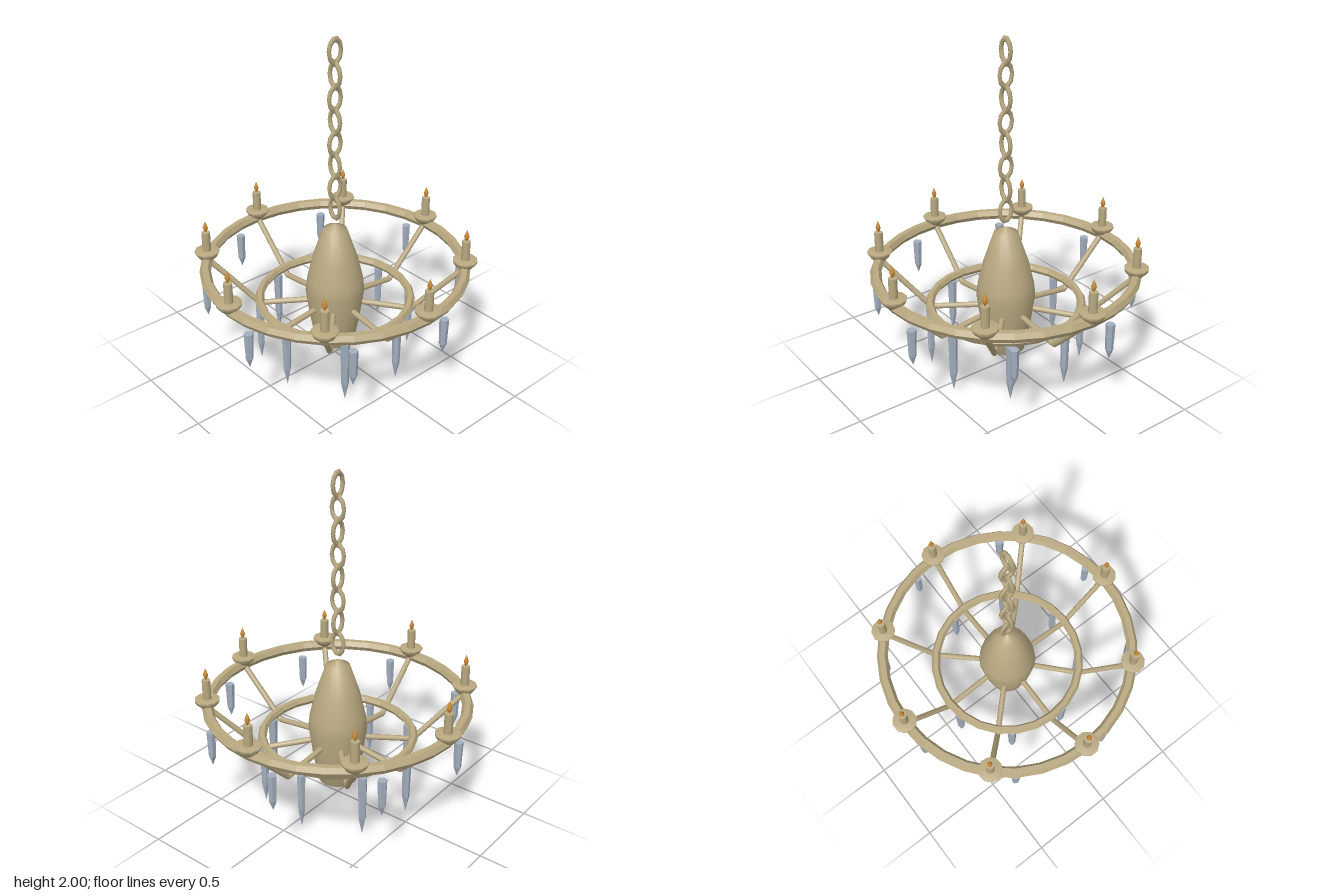
import * as THREE from 'three';

export function createModel() {
  const root = new THREE.Group();
  root.name = 'chandelier';

  const material = (name, color, flat = false) => {
    const m = new THREE.MeshStandardMaterial({ color, flatShading: flat });
    m.name = name;
    return m;
  };
  const brass = material('paleBrass', 0xb9a981);
  const crystal = material('crystal', 0xa3afbe, true);
  const flame = material('flame', 0xcf8a30);

  const add = (parent, name, geometry, mat) => {
    const mesh = new THREE.Mesh(geometry, mat);
    mesh.name = name;
    parent.add(mesh);
    return mesh;
  };
  const lathe = (points, sides) =>
    new THREE.LatheGeometry(points.map(([x, y]) => new THREE.Vector2(x, y)), sides);
  const flat = (geometry) => {
    const g = geometry.toNonIndexed();
    g.computeVertexNormals();
    return g;
  };

  // Central spindle body
  add(root, 'body', lathe([
    [0, 0.04], [0.06, 0.07], [0.115, 0.108], [0.148, 0.27], [0.174, 0.46],
    [0.165, 0.54], [0.132, 0.68], [0.07, 0.865], [0, 0.9],
  ], 20), brass);

  // Two six-sided hoops
  const hoop = (name, radius, tube, y, segments) => {
    const g = new THREE.TorusGeometry(radius, tube, 6, segments);
    g.rotateX(-Math.PI / 2);
    add(root, name, flat(g), brass).position.y = y;
  };
  hoop('outerRing', 0.75, 0.033, 0.637, 32);
  hoop('innerRing', 0.447, 0.026, 0.413, 24);

  // Chain of alternating links
  const linkGeometry = new THREE.TorusGeometry(0.042, 0.012, 6, 10);
  linkGeometry.scale(1, 1.52, 1);
  for (let i = 0; i < 8; i++) {
    const link = add(root, 'chainLink', linkGeometry, brass);
    link.position.y = 1.0 + i * 0.1313;
    link.rotation.y = i % 2 ? Math.PI / 2 : 0;
  }

  // Straight rod between two points in an arm's plane
  const rod = (parent, x0, y0, x1, y1) => {
    const length = Math.hypot(x1 - x0, y1 - y0);
    const g = new THREE.CylinderGeometry(0.017, 0.017, length, 8);
    const mesh = add(parent, 'armRod', g, brass);
    mesh.position.set((x0 + x1) / 2, (y0 + y1) / 2, 0);
    mesh.rotation.z = Math.atan2(y1 - y0, x1 - x0) - Math.PI / 2;
  };

  // Bent arms, each ending in a cup, candle and flame
  const cupGeometry = lathe([
    [0, 0.637], [0.036, 0.637], [0.06, 0.66], [0.072, 0.68], [0.072, 0.693], [0, 0.693],
  ], 10);
  const candleGeometry = new THREE.CylinderGeometry(0.025, 0.025, 0.125, 10);
  const flameGeometry = lathe([
    [0, 0.812], [0.009, 0.825], [0.015, 0.842], [0.009, 0.862], [0, 0.885],
  ], 8);
  for (let i = 0; i < 8; i++) {
    const arm = new THREE.Group();
    arm.name = 'arm';
    arm.rotation.y = (i * Math.PI) / 4;
    root.add(arm);
    rod(arm, 0.745, 0.63, 0.45, 0.342);
    rod(arm, 0.45, 0.342, 0.1, 0.385);
    add(arm, 'elbow', new THREE.SphereGeometry(0.017, 8, 6), brass).position.set(0.45, 0.342, 0);
    add(arm, 'candleCup', cupGeometry, brass).position.x = 0.75;
    add(arm, 'candle', candleGeometry, brass).position.set(0.75, 0.75, 0);
    add(arm, 'candleFlame', flameGeometry, flame).position.x = 0.75;
  }

  // Hanging crystals: a tapered six-sided prism with a pointed end
  const hangCrystal = (name, radius, angle, top, shoulder, tip) => {
    const g = lathe([[0, tip], [0.022, shoulder], [0.027, top], [0, top]], 6);
    const mesh = add(root, name, flat(g), crystal);
    mesh.position.set(radius * Math.cos(angle), 0, radius * Math.sin(angle));
    mesh.rotation.y = -angle;
  };
  const innerTips = [0.02, 0, 0.035, 0.005, 0, 0.005, 0.04, 0.035];
  innerTips.forEach((tip, i) => {
    const angle = ((i * 45 - 11.25) * Math.PI) / 180;
    hangCrystal('outerCrystal', 0.75, angle, 0.56, 0.4, 0.34);
    hangCrystal('innerCrystal', 0.447, angle, 0.385, tip + 0.11, tip);
  });

  return root;
}
